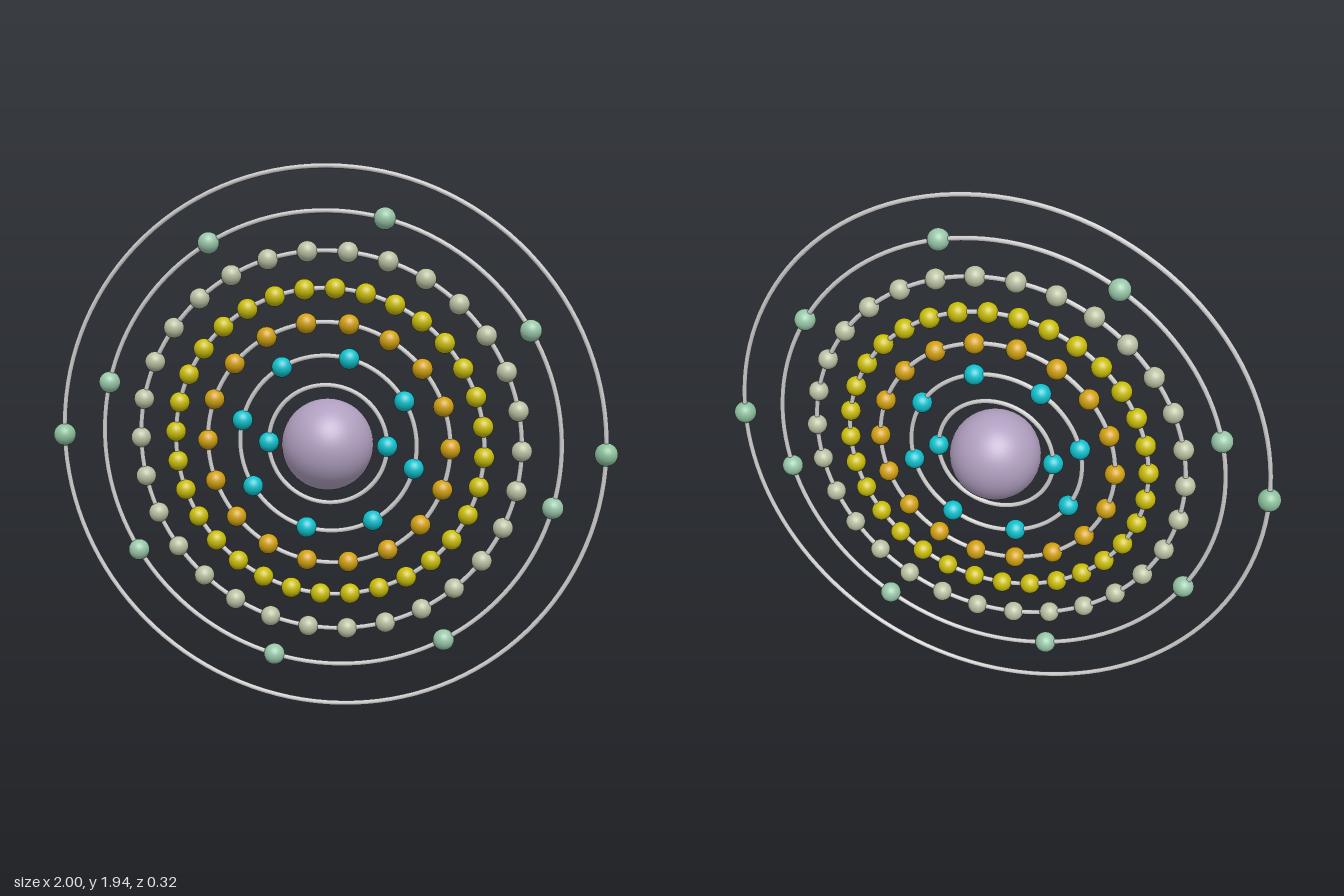
import * as THREE from 'three';

const CENTER_Y = 0.969;
const TUBE = 0.009;

// One entry per orbit: ring radius, bead count, first bead angle (degrees), bead radius, colour
const SHELLS = [
  { radius: 0.21, count: 2, start: 0, bead: 0.036, color: 0x0fc0cc },
  { radius: 0.313, count: 8, start: 31, bead: 0.036, color: 0x0fc0cc },
  { radius: 0.43, count: 18, start: 0, bead: 0.036, color: 0xd0a010 },
  { radius: 0.547, count: 32, start: 8.5, bead: 0.036, color: 0xc8bc08 },
  { radius: 0.675, count: 30, start: 0, bead: 0.036, color: 0xb9c0a2 },
  { radius: 0.81, count: 8, start: 31, bead: 0.038, color: 0x98c6a8 },
  { radius: 0.96, count: 2, start: 0, bead: 0.04, color: 0x8cc09c },
];

function makeShell({ radius, count, start, bead, color }, index) {
  const shell = new THREE.Group();
  shell.name = `shell${index + 1}`;

  // Orbit ring
  const ring = new THREE.Mesh(
    new THREE.TorusGeometry(radius, TUBE, 10, 128),
    new THREE.MeshStandardMaterial({ color: 0xcccccc })
  );
  ring.name = 'orbitRing';
  shell.add(ring);

  // Electrons spaced evenly around the ring
  const geometry = new THREE.SphereGeometry(bead, 24, 16);
  const material = new THREE.MeshStandardMaterial({ color });
  for (let i = 0; i < count; i++) {
    const angle = THREE.MathUtils.degToRad(start) + (i / count) * Math.PI * 2;
    const electron = new THREE.Mesh(geometry, material);
    electron.name = 'electron';
    electron.position.set(Math.cos(angle) * radius, Math.sin(angle) * radius, 0);
    shell.add(electron);
  }
  return shell;
}

export function createModel() {
  const model = new THREE.Group();
  model.name = 'atomModel';

  const atom = new THREE.Group();
  atom.name = 'atom';
  atom.position.y = CENTER_Y;
  model.add(atom);

  // Central nucleus
  const nucleus = new THREE.Mesh(
    new THREE.SphereGeometry(0.161, 48, 32),
    new THREE.MeshStandardMaterial({ color: 0xb09fc0 })
  );
  nucleus.name = 'nucleus';
  atom.add(nucleus);

  SHELLS.forEach((shell, i) => atom.add(makeShell(shell, i)));
  return model;
}
